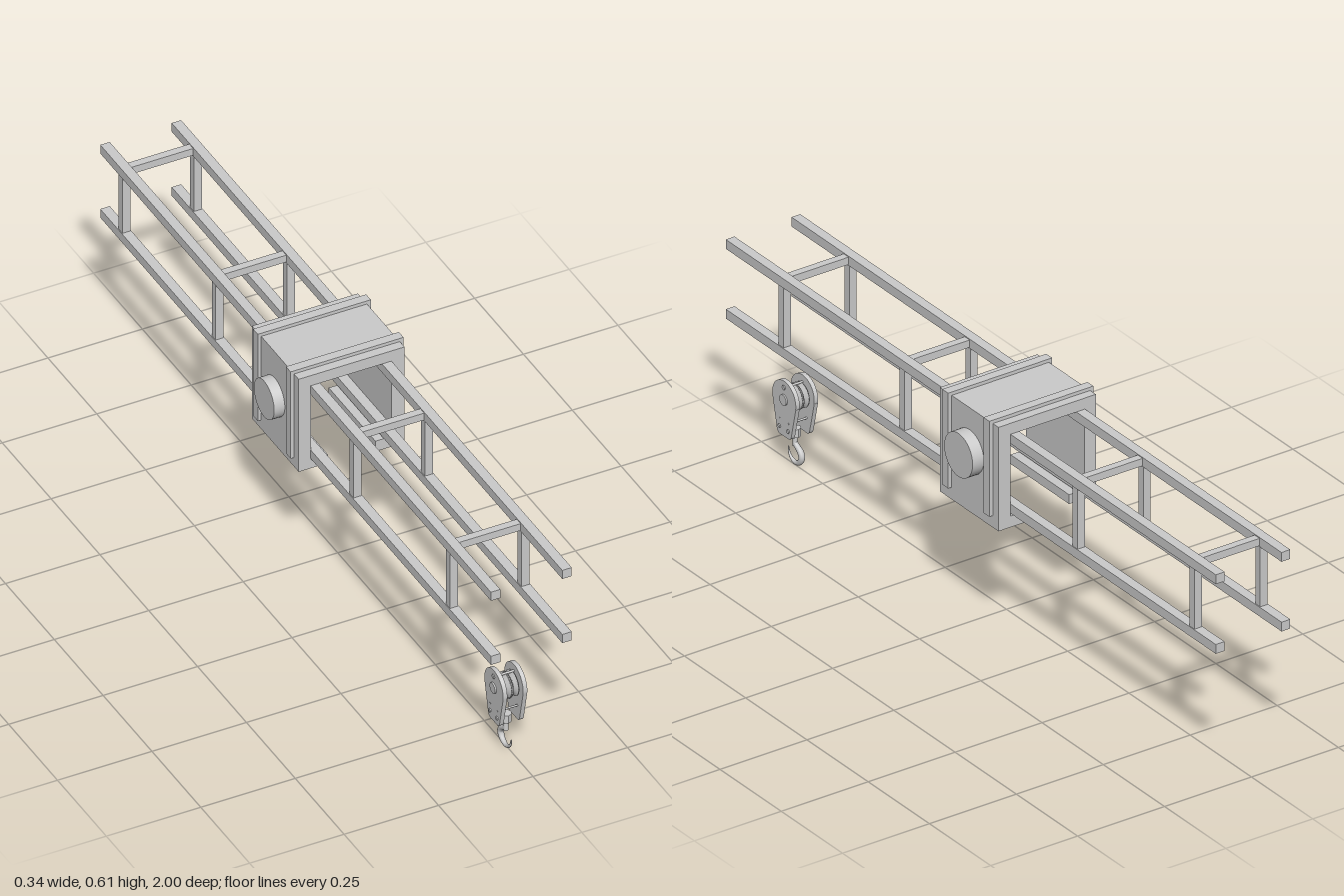
import * as THREE from 'three';

const grey = new THREE.MeshStandardMaterial({ color: 0xcccccc });
const faceted = new THREE.MeshStandardMaterial({ color: 0xcccccc, flatShading: true });

function add(parent, name, geometry, material = grey) {
  const mesh = new THREE.Mesh(geometry, material);
  mesh.name = name;
  parent.add(mesh);
  return mesh;
}

// Box given by its limits on each axis
function box(parent, name, [x0, x1], [y0, y1], [z0, z1]) {
  const mesh = add(parent, name, new THREE.BoxGeometry(x1 - x0, y1 - y0, z1 - z0), faceted);
  mesh.position.set((x0 + x1) / 2, (y0 + y1) / 2, (z0 + z1) / 2);
  return mesh;
}

// Cylinder lying along x
function rod(parent, name, x0, x1, y, z, r, sides = 20) {
  const mesh = add(parent, name, new THREE.CylinderGeometry(r, r, x1 - x0, sides).rotateZ(Math.PI / 2));
  mesh.position.set((x0 + x1) / 2, y, z);
  return mesh;
}

// Front-facing outline pushed along z
function slab(parent, name, points, z0, z1) {
  const shape = new THREE.Shape(points.map(p => new THREE.Vector2(...p)));
  const geometry = new THREE.ExtrudeGeometry(shape, { depth: z1 - z0, bevelEnabled: false });
  return add(parent, name, geometry.translate(0, 0, z0), faceted);
}

function makeTrack() {
  const track = new THREE.Group();
  track.name = 'track';
  const sides = [-0.099, 0.09];
  for (const x of sides)
    for (const y of [0.378, 0.565])
      box(track, 'rail', [x - 0.0125, x + 0.0125], [y - 0.0125, y + 0.0125], [-1, 1]);
  for (const z of [-0.9, -0.423, 0.283, 0.777]) {
    for (const x of sides)
      box(track, 'post', [x - 0.0105, x + 0.0105], [0.385, 0.56], [z - 0.01, z + 0.01]);
    box(track, 'crossbar', [-0.09, 0.08], [0.555, 0.575], [z - 0.01, z + 0.01]);
  }
  return track;
}

function makeCarriage() {
  const carriage = new THREE.Group();
  carriage.name = 'carriage';
  // Saddle with a lip turned in under each side
  slab(carriage, 'saddle', [
    [-0.143, 0.337], [-0.066, 0.337], [-0.066, 0.362], [-0.111, 0.362],
    [-0.111, 0.577], [0.103, 0.577], [0.103, 0.358], [0.06, 0.358],
    [0.06, 0.328], [0.137, 0.328], [0.137, 0.607], [-0.143, 0.607],
  ], -0.162, 0.077);
  // Raised bands around the saddle
  for (const z of [-0.127, 0.041])
    slab(carriage, 'band', [
      [-0.152, 0.363], [-0.14, 0.363], [-0.14, 0.604], [0.134, 0.604],
      [0.134, 0.36], [0.147, 0.36], [0.147, 0.616], [-0.152, 0.616],
    ], z - 0.012, z + 0.012);
  rod(carriage, 'rightMotorCap', -0.171, -0.14, 0.479, -0.046, 0.052, 48);
  rod(carriage, 'leftMotorCap', 0.134, 0.169, 0.49, -0.044, 0.058, 48);
  return carriage;
}

function makeHookBlock() {
  const block = new THREE.Group();
  block.name = 'hookBlock';
  block.position.set(-0.002, 0, 0.865);

  // Teardrop cheek plates
  const cheek = new THREE.Shape();
  cheek.moveTo(-0.021, 0.087);
  cheek.lineTo(0.021, 0.087);
  cheek.quadraticCurveTo(0.028, 0.09, 0.03, 0.1);
  cheek.lineTo(0.048, 0.178);
  cheek.absarc(0, 0.187, 0.048, -0.19, Math.PI + 0.19, false);
  cheek.lineTo(-0.03, 0.1);
  cheek.quadraticCurveTo(-0.028, 0.09, -0.021, 0.087);
  for (const s of [-1, 1]) {
    const geometry = new THREE.ExtrudeGeometry(cheek, { depth: 0.011, bevelEnabled: false, curveSegments: 24 });
    add(block, 'cheekPlate', geometry.translate(0, 0, -0.0055).rotateY(Math.PI / 2), faceted)
      .position.x = s * 0.0265;
    rod(block, 'axleHub', s * 0.032 - 0.004, s * 0.032 + 0.004, 0.185, 0, 0.014, 24);
    rod(block, 'topNut', s * 0.032 - 0.003, s * 0.032 + 0.003, 0.218, 0, 0.006, 6);
    for (const z of [-0.018, 0.018])
      rod(block, 'lowerNut', s * 0.032 - 0.003, s * 0.032 + 0.003, 0.108, z, 0.005, 6);
  }

  // Grooved sheaves turning on the axle
  const sheave = [[0, -0.009], [0.033, -0.009], [0.033, -0.006], [0.02, -0.002],
    [0.02, 0.002], [0.033, 0.006], [0.033, 0.009], [0, 0.009]]
    .map(p => new THREE.Vector2(...p));
  for (const x of [-0.0095, 0.0095])
    add(block, 'sheave', new THREE.LatheGeometry(sheave, 32).rotateZ(Math.PI / 2))
      .position.set(x, 0.184, 0);
  rod(block, 'axle', -0.034, 0.034, 0.185, 0, 0.008);
  rod(block, 'topPin', -0.034, 0.034, 0.217, 0, 0.003, 12);
  for (const z of [-0.018, 0.018])
    rod(block, 'lowerPin', -0.033, 0.033, 0.128, z, 0.0025, 12);

  // Swivel nut and shank
  add(block, 'swivelNut', new THREE.CylinderGeometry(0.014, 0.014, 0.022, 8), faceted).position.y = 0.09;
  add(block, 'shank', new THREE.CylinderGeometry(0.0055, 0.0065, 0.03, 16)).position.y = 0.068;

  // Hook: a tube that swells at the bend and narrows to the tip
  const path = new THREE.CatmullRomCurve3([
    [0.062, 0], [0.055, -0.006], [0.046, -0.02], [0.032, -0.027], [0.016, -0.019],
    [0.008, 0], [0.015, 0.017], [0.027, 0.025], [0.038, 0.027],
  ].map(([y, z]) => new THREE.Vector3(0, y, z)));
  const segments = 40, sides = 12;
  const geometry = new THREE.TubeGeometry(path, segments, 1, sides);
  const position = geometry.attributes.position;
  const v = new THREE.Vector3();
  for (let i = 0; i <= segments; i++) {
    const t = i / segments;
    const centre = path.getPointAt(t);
    const radius = t < 0.6 ? 0.006 + 0.002 * Math.sin(t / 0.6 * Math.PI)
      : 0.006 - 0.0045 * (t - 0.6) / 0.4;
    for (let j = 0; j <= sides; j++) {
      const k = i * (sides + 1) + j;
      v.fromBufferAttribute(position, k).sub(centre).multiplyScalar(radius).add(centre);
      position.setXYZ(k, v.x, v.y, v.z);
    }
  }
  add(block, 'hook', geometry);
  add(block, 'hookTip', new THREE.SphereGeometry(0.0016, 10, 8)).position.copy(path.getPointAt(1));
  return block;
}

export function createModel() {
  const model = new THREE.Group();
  model.name = 'overheadCrane';
  model.add(makeTrack(), makeCarriage(), makeHookBlock());
  return model;
}
